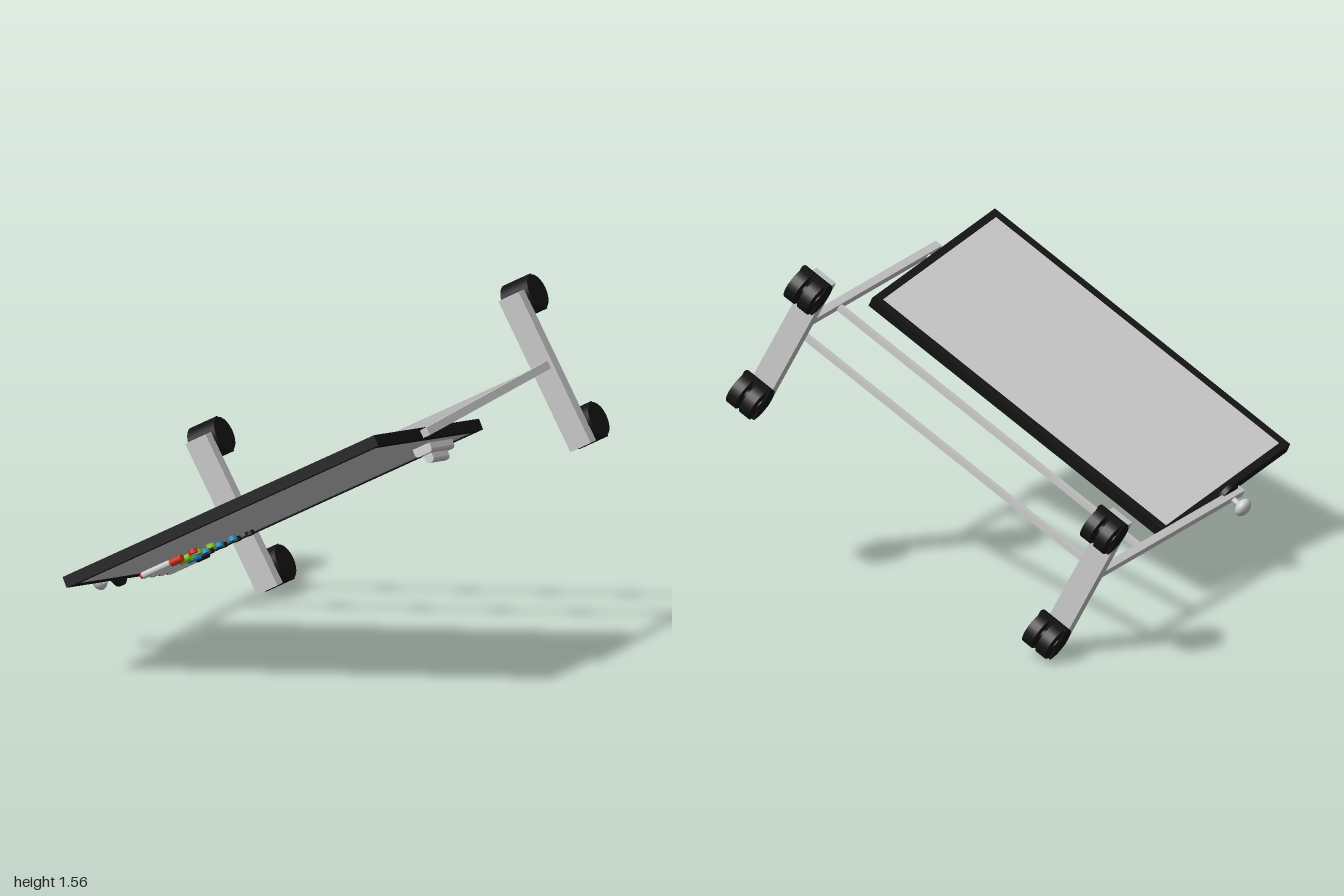
import * as THREE from 'three';

const mat = (color) => new THREE.MeshStandardMaterial({ color });
const grey = mat(0xcccccc);
const black = mat(0x141414);
const red = mat(0xd03020);
const green = mat(0x7fc41c);
const blue = mat(0x2090cc);

function add(parent, name, geometry, material, x = 0, y = 0, z = 0) {
  const mesh = new THREE.Mesh(geometry, material);
  mesh.name = name;
  mesh.position.set(x, y, z);
  parent.add(mesh);
  return mesh;
}
const box = (w, h, d) => new THREE.BoxGeometry(w, h, d);
// Cylinder lying along x
const rod = (r, length, sides = 24) =>
  new THREE.CylinderGeometry(r, r, length, sides).rotateZ(Math.PI / 2);

// Twin-wheel caster hanging below a foot (towards -z)
function makeCaster() {
  const caster = new THREE.Group();
  caster.name = 'caster';
  const half = new THREE.Shape();
  half.absarc(0, 0, 0.084, 0, Math.PI, false);
  half.closePath();
  const hood = new THREE.ExtrudeGeometry(half, { depth: 0.145, bevelEnabled: false, curveSegments: 18 });
  hood.translate(0, 0, -0.0725);
  hood.applyMatrix4(new THREE.Matrix4().makeBasis(
    new THREE.Vector3(0, 1, 0), new THREE.Vector3(0, 0, 1), new THREE.Vector3(1, 0, 0)));
  add(caster, 'casterHood', hood, black);
  for (const s of [-1, 1]) add(caster, 'casterWheel', rod(0.08, 0.052), black, s * 0.038);
  add(caster, 'casterAxle', rod(0.03, 0.14, 16), black);
  return caster;
}

// Upright post with its foot and two casters
function makeSide(s) {
  const side = new THREE.Group();
  side.name = s > 0 ? 'leftStand' : 'rightStand';
  side.position.z = s * 0.009;
  add(side, 'post', box(0.036, 0.036, 1.23), grey, s * 0.871, 0.022, -0.082);
  add(side, 'foot', box(0.11, 0.72, 0.054), grey, s * 0.852, 0, -0.723);
  for (const t of [-1, 1]) {
    const caster = makeCaster();
    caster.position.set(s * 0.852, 0.02 + t * 0.305, -0.832);
    side.add(caster);
  }
  return side;
}

// Framed board, width on x, height on z, working side facing -y
function makeBoard() {
  const board = new THREE.Group();
  board.name = 'board';
  const W = 1.686, H = 0.92, T = 0.05, B = 0.034;
  add(board, 'panel', box(W - B, T - 0.008, H - B), grey);
  for (const s of [-1, 1]) {
    add(board, 'longRail', box(W, T, B), black, 0, 0, s * (H - B) / 2);
    add(board, 'endRail', box(B, T, H - 2 * B), black, s * (W - B) / 2, 0, 0);
  }

  // Eraser: rounded pad with a slimmer grip
  const eraser = new THREE.Group();
  eraser.name = 'eraser';
  eraser.position.set(0.7, -0.021, -0.25);
  const pill = (w, h, d) => {
    const r = Math.min(w, h) / 2 - 0.004;
    const shape = new THREE.Shape();
    shape.moveTo(-w / 2, 0).lineTo(w / 2, 0).lineTo(w / 2, -h + r);
    shape.absarc(w / 2 - r, -h + r, r, 0, -Math.PI / 2, true);
    shape.absarc(-w / 2 + r, -h + r, r, -Math.PI / 2, -Math.PI, true);
    shape.closePath();
    return new THREE.ExtrudeGeometry(shape, { depth: d, bevelEnabled: false, curveSegments: 6 })
      .translate(0, 0, -d / 2);
  };
  add(eraser, 'eraserPad', pill(0.09, 0.04, 0.2), grey);
  add(eraser, 'eraserGrip', pill(0.042, 0.04, 0.14), grey, 0, -0.038, 0);
  board.add(eraser);

  // Markers and round magnets, one row per colour
  const rows = [[red, -0.12, -0.52, 1], [green, -0.195, -0.47, 2], [blue, -0.27, -0.4, 3], [black, -0.345, -0.35, 4]];
  for (const [color, z, first, count] of rows) {
    add(board, 'markerBody', rod(0.016, 0.15, 16), grey, -0.715, -0.036, z);
    add(board, 'markerCap', rod(0.0175, 0.06, 16), color, -0.61, -0.036, z);
    add(board, 'markerTail', rod(0.012, 0.012, 16), color, -0.795, -0.036, z);
    for (let i = 0; i < count; i++) {
      add(board, 'magnet', new THREE.CylinderGeometry(0.021, 0.021, 0.02, 20), color, first - i * 0.073, -0.03, z);
    }
  }
  return board;
}

export function createModel() {
  const model = new THREE.Group();
  model.name = 'mobileWhiteboard';
  const body = new THREE.Group();
  body.name = 'whiteboardBody';
  // The whole stand lies on its back and leans sideways
  body.rotation.set(0, -0.007, THREE.MathUtils.degToRad(28.3), 'ZYX');
  body.position.set(0.005, 0.77, 0);
  model.add(body);

  for (const s of [-1, 1]) body.add(makeSide(s));
  for (const z of [-0.65, -0.308]) add(body, 'crossbar', box(1.72, 0.026, 0.026), grey, 0, 0.022, z);

  const board = makeBoard();
  board.position.set(0, 0.0145, 0.46);
  board.rotation.x = -0.171;
  body.add(board);

  // Tilt pivots, with a clamping knob on one side
  for (const s of [-1, 1]) add(body, 'pivotPin', rod(0.012, 0.08, 16), grey, s * 0.85, 0.02, 0.44);
  add(body, 'clampDisc', rod(0.06, 0.022), black, -0.853, 0.02, 0.44);
  add(body, 'knobShaft', rod(0.014, 0.06, 16), grey, -0.905, 0.02, 0.44);
  const knob = add(body, 'knob', new THREE.SphereGeometry(0.042, 24, 16), grey, -0.945, 0.02, 0.44);
  knob.scale.x = 0.7;
  return model;
}
